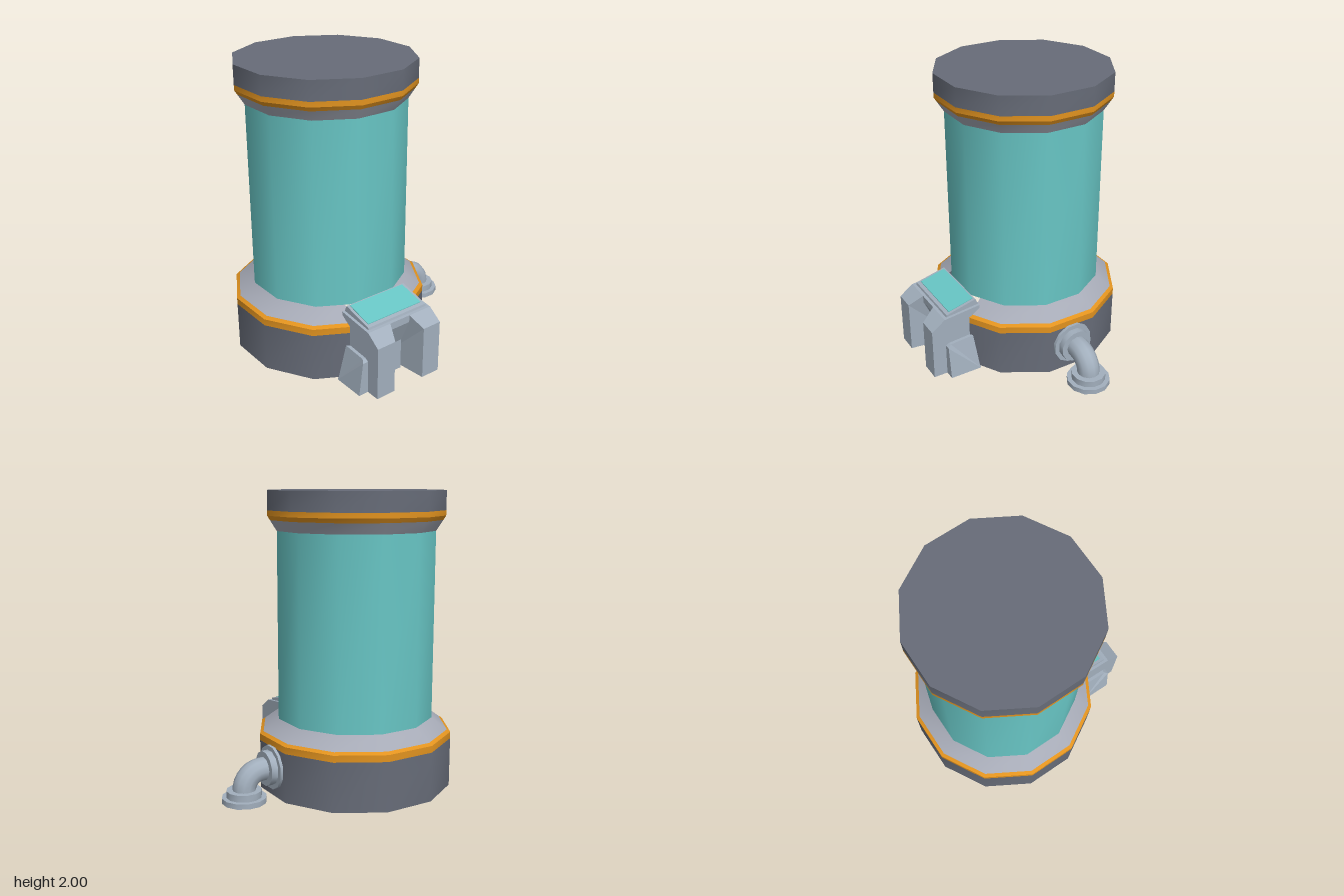
import * as THREE from 'three';

const paint = (name, color, side = THREE.FrontSide) => {
  const m = new THREE.MeshStandardMaterial({ color, side });
  m.name = name;
  return m;
};

const CX = -0.18, CZ = -0.115; // tank axis

export function createModel() {
  const dark = paint('dark grey', 0x676c78, THREE.DoubleSide);
  const grey = paint('light grey', 0xa6aab6, THREE.DoubleSide);
  const orange = paint('orange', 0xe2931f, THREE.DoubleSide);
  const teal = paint('teal glass', 0x68c6c5, THREE.DoubleSide);
  const steel = paint('blue grey', 0xa2afbd, THREE.DoubleSide);

  const model = new THREE.Group();
  const add = (name, geo, mat, parent = model) => {
    const mesh = new THREE.Mesh(geo, mat);
    mesh.name = name;
    parent.add(mesh);
    return mesh;
  };
  const group = (name) => {
    const g = new THREE.Group();
    g.name = name;
    model.add(g);
    return g;
  };

  // Outlines of a twelve-sided ring, scaled so the flats lie at distance 1
  const corner = (deg) => {
    const a = THREE.MathUtils.degToRad(deg), k = 1 / Math.cos(Math.PI / 12);
    return [Math.sin(a) * k, Math.cos(a) * k];
  };
  const full = [], open = [[0.406, 0.917]];
  for (let d = 15; d < 375; d += 30) full.push(corner(d));
  for (let d = 45; d <= 315; d += 30) open.push(corner(d));
  open.push([-0.406, 0.917]); // gap at the front for the console

  // Wall between two heights following an outline
  function band(outline, r0, y0, r1, y1) {
    const pos = [], idx = [], n = outline.length, closed = outline === full;
    for (const [x, z] of outline) pos.push(x * r0, y0, z * r0, x * r1, y1, z * r1);
    for (let i = 0; i < (closed ? n : n - 1); i++) {
      const a = 2 * i, b = 2 * ((i + 1) % n);
      idx.push(a, b, b + 1, a, b + 1, a + 1);
    }
    const g = new THREE.BufferGeometry();
    g.setAttribute('position', new THREE.Float32BufferAttribute(pos, 3));
    g.setIndex(idx);
    g.computeVertexNormals();
    return g;
  }

  // Tank
  const tank = group('tank');
  tank.position.set(CX, 0, CZ);
  const walls = [
    ['baseWall', open, 0.64, 0.02, 0.64, 0.35, dark],
    ['baseTrim', open, 0.64, 0.35, 0.64, 0.395, orange],
    ['baseTrimBevel', open, 0.64, 0.395, 0.617, 0.41, orange],
    ['baseShoulder', open, 0.617, 0.41, 0.515, 0.488, grey],
    ['glass', full, 0.515, 0.488, 0.515, 1.74, teal],
    ['neckFlare', full, 0.515, 1.74, 0.558, 1.81, grey],
    ['lidTrimBevel', full, 0.558, 1.81, 0.575, 1.838, orange],
    ['lidTrim', full, 0.575, 1.838, 0.575, 1.872, orange],
    ['lidWall', full, 0.575, 1.872, 0.575, 2, dark],
  ];
  for (const [name, outline, r0, y0, r1, y1, mat] of walls) {
    add(name, band(outline, r0, y0, r1, y1), mat, tank);
  }
  const cap = new THREE.CircleGeometry(0.575 / Math.cos(Math.PI / 12), 12, Math.PI / 12);
  add('lidTop', cap.rotateX(-Math.PI / 2).translate(0, 2, 0), dark, tank);

  // Console, built about its own middle plane from (z, y) side profiles
  const desk = group('console');
  desk.position.x = CX;
  function slab(profile, x0, x1, rule) {
    const shape = new THREE.Shape(profile.map(([z, y]) => new THREE.Vector2(z, y)));
    const g = new THREE.ExtrudeGeometry(shape, { depth: x1 - x0, bevelEnabled: false });
    g.rotateY(-Math.PI / 2).translate(x1, 0, 0);
    if (rule) {
      const p = g.attributes.position;
      for (let i = 0; i < p.count; i++) p.setX(i, rule(p.getX(i), p.getY(i), p.getZ(i)));
      g.computeVertexNormals();
    }
    return g;
  }
  add('consoleCentre', slab([[0.39, 0], [0.58, 0], [0.58, 0.22], [0.655, 0.39],
    [0.655, 0.44], [0.39, 0.47]], -0.08, 0.08), steel, desk);

  const column = [[0.39, 0], [0.752, 0], [0.752, 0.37], [0.655, 0.44], [0.39, 0.47]];
  const wing = [[0.43, 0], [0.655, 0], [0.655, 0.23], [0.63, 0.245], [0.43, 0.26]];
  for (const s of [1, -1]) {
    const side = s > 0 ? 'left' : 'right';
    const span = (a, b) => (s > 0 ? [a, b] : [-b, -a]);
    // inner front edge is chamfered
    add(side + 'Column', slab(column, ...span(0.08, 0.26),
      (x, y, z) => (z > 0.7 && Math.abs(x) < 0.1 ? s * 0.12 : x)), steel, desk);
    // outer face leans inwards
    add(side + 'Wing', slab(wing, ...span(0.25, 0.33),
      (x, y) => (Math.abs(x) > 0.3 && y > 0.1 ? s * (y > 0.24 ? 0.283 : 0.3) : x)), steel, desk);
  }
  add('screenFrame', slab([[0.39, 0.468], [0.635, 0.44], [0.63, 0.457], [0.41, 0.513]],
    -0.24, 0.24), steel, desk);
  add('screen', slab([[0.605, 0.463], [0.605, 0.468], [0.42, 0.515], [0.42, 0.51]],
    -0.22, 0.22), teal, desk);

  // Pipe on the left side
  const pipe = group('pipe');
  pipe.position.z = CZ;
  const path = [new THREE.Vector3(0.5, 0.215, 0)];
  for (let i = 0; i <= 4; i++) {
    const a = (i / 4) * Math.PI / 2;
    path.push(new THREE.Vector3(0.55 + 0.12 * Math.sin(a), 0.095 + 0.12 * Math.cos(a), 0));
  }
  path.push(new THREE.Vector3(0.67, 0.06, 0));
  add('elbow', new THREE.TubeGeometry(new THREE.CatmullRomCurve3(path), 10, 0.076, 12), steel, pipe);

  // Stepped hollow flange, each run a separate band so its edges stay sharp
  function flange(name, place) {
    const g = new THREE.Group();
    g.name = name;
    const steps = [[0.105, 0], [0.142, 0], [0.142, 0.035], [0.112, 0.035], [0.112, 0.08], [0.07, 0.08]];
    for (let i = 0; i < steps.length - 1; i++) {
      add(name + 'Step', band(full, ...steps[i], ...steps[i + 1]), steel, g);
    }
    add(name + 'Bore', band(full, 0.07, 0.05, 0.105, 0), steel, g);
    place(g);
    pipe.add(g);
  }
  flange('footFlange', (g) => g.position.set(0.67, 0.02, 0));
  flange('wallFlange', (g) => {
    g.rotation.z = -Math.PI / 2;
    g.position.set(0.445, 0.215, 0);
  });

  return model;
}
